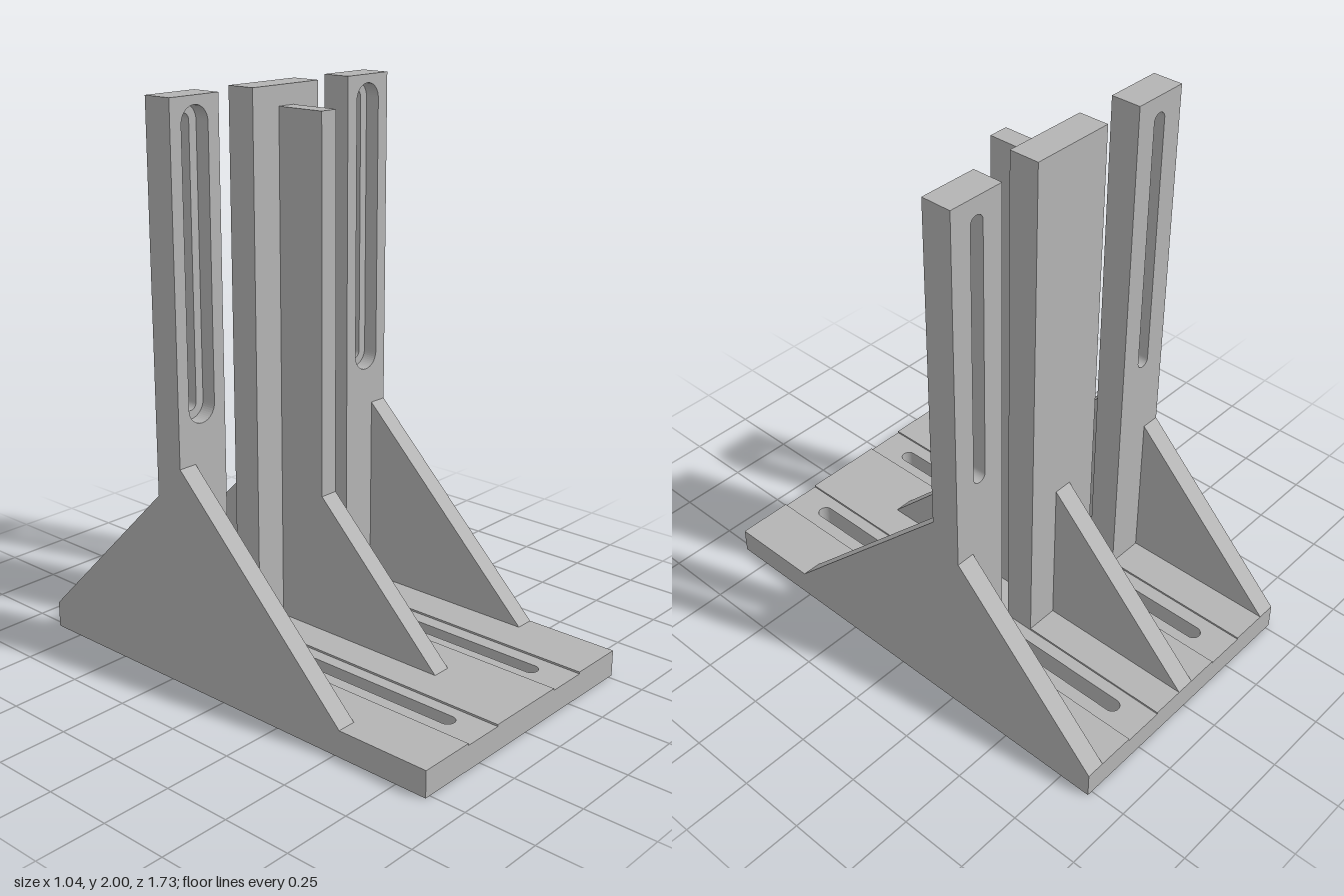
import * as THREE from 'three';

const HALF_W = 0.52, HALF_D = 0.867;      // base half sizes
const FLOOR = 0.088, TOP = 0.095;         // channel floor and pad top
const BACK = -0.29, MID = -0.235, FRONT = -0.18; // column depth planes

// Adds the points of a rectangle
function rect(x0, y0, x1, y1) {
  return new THREE.Shape([[x0, y0], [x1, y0], [x1, y1], [x0, y1]].map(p => new THREE.Vector2(...p)));
}

// Vertical slot with round ends
function slot(cx, y0, y1, width) {
  const r = width / 2, p = new THREE.Path();
  p.moveTo(cx + r, y0 + r);
  p.lineTo(cx + r, y1 - r);
  p.absarc(cx, y1 - r, r, 0, Math.PI, false);
  p.lineTo(cx - r, y0 + r);
  p.absarc(cx, y0 + r, r, Math.PI, Math.PI * 2, false);
  return p;
}

function extrude(shape, depth) {
  return new THREE.ExtrudeGeometry(shape, { depth, bevelEnabled: false, curveSegments: 12 });
}

export function createModel() {
  const model = new THREE.Group();
  model.name = 'slottedBracket';
  const grey = new THREE.MeshStandardMaterial({ color: 0xb4b4b4 });
  grey.name = 'grey';

  function add(name, geometry) {
    const mesh = new THREE.Mesh(geometry, grey);
    mesh.name = name;
    model.add(mesh);
  }
  function addBox(name, x0, x1, y0, y1, z0, z1) {
    const g = new THREE.BoxGeometry(x1 - x0, y1 - y0, z1 - z0);
    g.translate((x0 + x1) / 2, (y0 + y1) / 2, (z0 + z1) / 2);
    add(name, g);
  }
  // Plate with a (z, y) outline, spanning x0 to x1
  function addPlate(name, x0, x1, points) {
    const g = extrude(new THREE.Shape(points.map(p => new THREE.Vector2(...p))), x1 - x0);
    g.rotateY(-Math.PI / 2);
    g.translate(x1, 0, 0);
    add(name, g);
  }

  // Base with two long slots
  const baseShape = rect(-HALF_W, -HALF_D, HALF_W, HALF_D);
  for (const x of [-0.23, 0.23]) baseShape.holes.push(slot(x, -0.75, 0.755, 0.055));
  add('base', extrude(baseShape, FLOOR).rotateX(-Math.PI / 2));

  // Raised pads, leaving a shallow channel around each slot
  for (const [x0, x1] of [[-HALF_W, -0.31], [-0.157, 0.157], [0.31, HALF_W]]) {
    addBox('basePad', x0, x1, FLOOR, TOP, -HALF_D, HALF_D);
  }

  // Centre column
  addBox('centreColumn', -0.157, 0.157, TOP, 2, BACK, FRONT);

  // Side columns: narrow slot behind, wider recess in front
  for (const s of [-1, 1]) {
    const inner = s * 0.31, outer = s * HALF_W;
    for (const [name, z, w, y0, y1] of [
      ['columnBack', BACK, 0.052, 0.957, 1.94],
      ['columnFront', MID, 0.115, 0.927, 1.97]]) {
      const shape = rect(Math.min(inner, outer), TOP, Math.max(inner, outer), 2);
      shape.holes.push(slot(s * 0.415, y0, y1, w));
      add(name, extrude(shape, MID - BACK).translate(0, 0, z));
    }
  }

  // Sloping ribs before and behind each column; the centre one carries a tall fin
  const frontRib = [[FRONT, TOP], [0.52, TOP], [FRONT, 0.79]];
  const finRib = [[FRONT, TOP], [0.52, TOP], [0.01, 0.603], [0.01, 1.93], [FRONT, 1.93]];
  const backRib = [[-HALF_D, TOP], [BACK, TOP], [BACK, 0.67]];
  for (const [x0, x1, front] of [
    [-HALF_W, -0.45, frontRib], [-0.035, 0.035, finRib], [0.45, HALF_W, frontRib]]) {
    addPlate(front === finRib ? 'finRib' : 'frontRib', x0, x1, front);
    addPlate('backRib', x0, x1, backRib);
  }
  return model;
}
